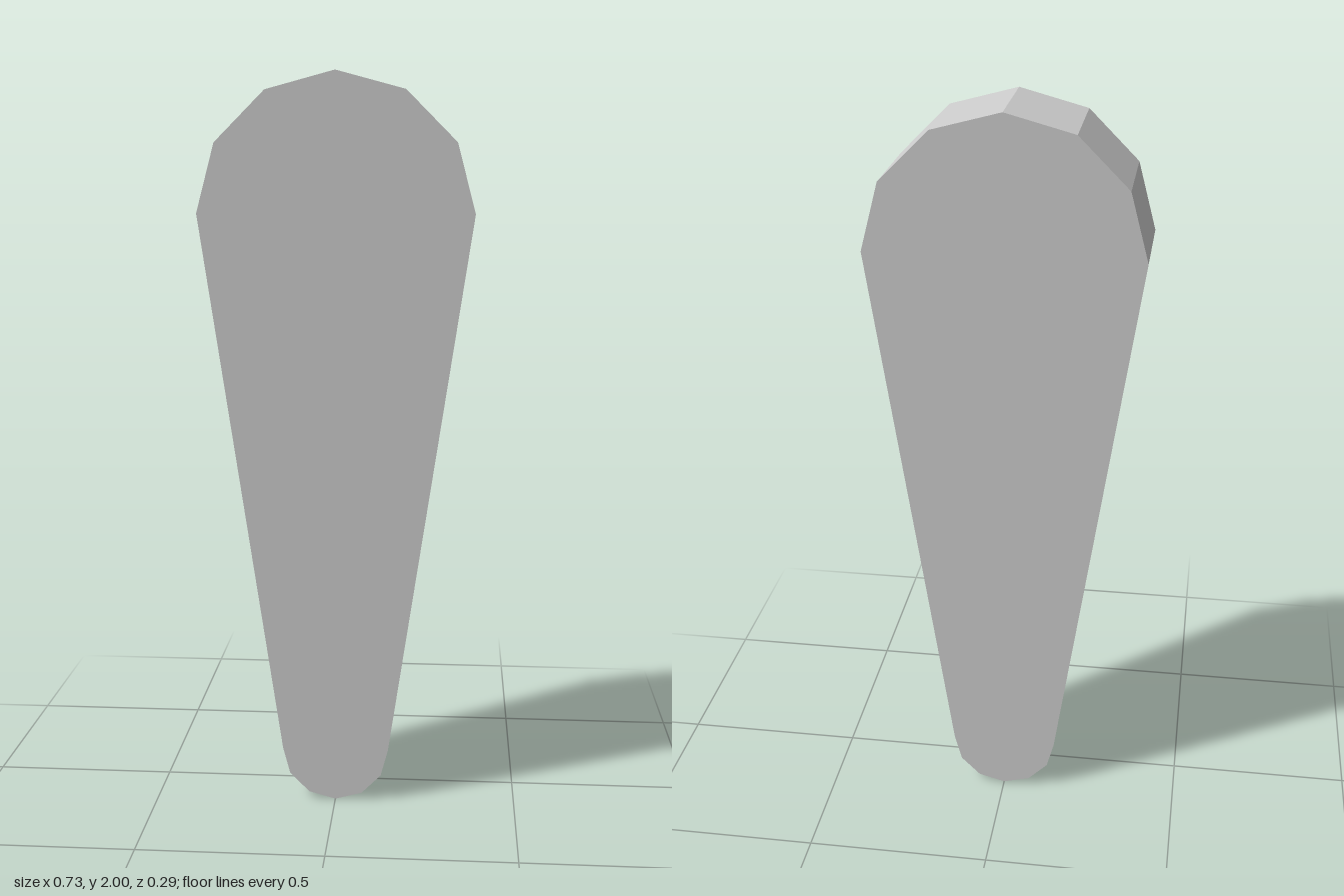
import * as THREE from 'three';

const TOP_R = 0.367, BOTTOM_R = 0.147, HEIGHT = 2, DEPTH = 0.294;

// Points of a half circle in 30 degree steps
function halfCircle(radius, centreY, startAngle) {
  return Array.from({ length: 7 }, (_, i) => {
    const a = startAngle + (i * Math.PI) / 6;
    return new THREE.Vector2(radius * Math.cos(a), centreY + radius * Math.sin(a));
  });
}

export function createModel() {
  const group = new THREE.Group();
  group.name = 'taperedLever';

  // Tapered outline: wide faceted cap above, narrow faceted tip below
  const outline = new THREE.Shape([
    ...halfCircle(TOP_R, HEIGHT - TOP_R, 0),
    ...halfCircle(BOTTOM_R, BOTTOM_R, Math.PI),
  ]);
  const geometry = new THREE.ExtrudeGeometry(outline, { depth: DEPTH, bevelEnabled: false });
  geometry.translate(0, 0, -DEPTH / 2);

  const material = new THREE.MeshStandardMaterial({ color: 0xcccccc, flatShading: true });
  const body = new THREE.Mesh(geometry, material);
  body.name = 'leverBody';
  group.add(body);
  return group;
}
